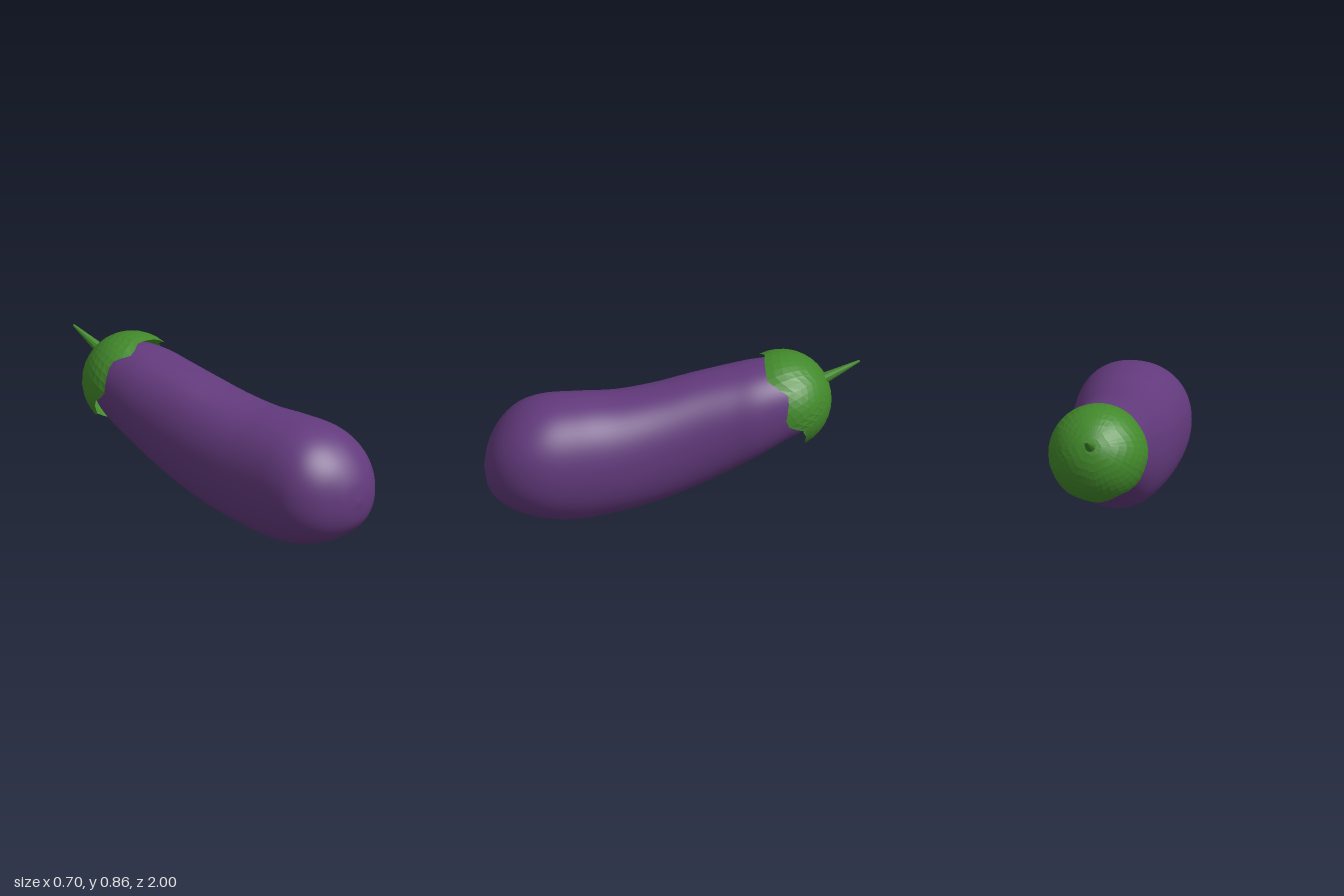
import * as THREE from 'three';
import { mergeVertices } from 'three/addons/utils/BufferGeometryUtils.js';

// Surface from a grid of points: rows along, columns around (closed loop)
function loft(rows, cols, pointAt) {
  const pos = [], idx = [];
  for (let i = 0; i <= rows; i++)
    for (let j = 0; j < cols; j++) pos.push(...pointAt(i / rows, j / cols));
  for (let i = 0; i < rows; i++)
    for (let j = 0; j < cols; j++) {
      const k = (j + 1) % cols;
      const a = i * cols + j, b = i * cols + k, c = a + cols, d = b + cols;
      idx.push(a, c, b, b, c, d);
    }
  const geo = new THREE.BufferGeometry();
  geo.setAttribute('position', new THREE.Float32BufferAttribute(pos, 3));
  geo.setIndex(idx);
  const merged = mergeVertices(geo, 1e-5);
  merged.computeVertexNormals();
  return merged;
}

// Fruit stations, front to back: z, x min, x max, y min, y max
const STATIONS = [
  [1, 0.08, 0.08, 0.32, 0.32],
  [0.975, -0.04, 0.19, 0.2, 0.44],
  [0.91, -0.165, 0.275, 0.12, 0.55],
  [0.81, -0.245, 0.328, 0.062, 0.635],
  [0.68, -0.272, 0.346, 0.02, 0.68],
  [0.5, -0.275, 0.325, 0.002, 0.688],
  [0.3, -0.278, 0.288, 0.025, 0.686],
  [0.1, -0.285, 0.245, 0.065, 0.712],
  [-0.1, -0.297, 0.205, 0.128, 0.755],
  [-0.3, -0.311, 0.177, 0.218, 0.792],
  [-0.45, -0.316, 0.158, 0.295, 0.815],
  [-0.6, -0.305, 0.11, 0.375, 0.815],
  [-0.71, -0.25, 0.06, 0.435, 0.755],
  [-0.77, -0.18, 0.0, 0.51, 0.69],
  [-0.79, -0.09, -0.09, 0.6, 0.6],
];

function buildFruit() {
  const low = new THREE.CatmullRomCurve3(
    STATIONS.map(s => new THREE.Vector3(s[1], s[3], s[0])), false, 'catmullrom', 0.5);
  const high = new THREE.CatmullRomCurve3(
    STATIONS.map(s => new THREE.Vector3(s[2], s[4], s[0])), false, 'catmullrom', 0.5);
  const round = v => Math.sign(v) * Math.abs(v) ** (2 / 2.15);
  return loft(84, 64, (t, u) => {
    const p = low.getPoint(t), q = high.getPoint(t), a = u * Math.PI * 2;
    return [
      (p.x + q.x) / 2 + round(Math.cos(a)) * (q.x - p.x) / 2,
      (p.y + q.y) / 2 + round(Math.sin(a)) * (q.y - p.y) / 2,
      p.z,
    ];
  });
}

// Ragged cap rim: [degrees around from the top towards +x, degrees down from the stem]
const RIM = [
  [-25, 92], [-8, 83], [12, 86], [38, 91], [65, 75], [95, 95], [118, 78], [147, 89],
  [165, 80], [186, 89], [212, 78], [240, 93], [257, 86], [276, 96], [312, 79], [335, 92],
];
function rimAngle(deg) {
  const d = deg > 335 ? deg - 360 : deg;
  const n = RIM.findIndex(r => r[0] >= d);
  if (n <= 0) return RIM[0][1];
  const [a, b] = [RIM[n - 1], RIM[n]];
  return THREE.MathUtils.mapLinear(d, a[0], b[0], a[1], b[1]);
}

function buildCap() {
  // Local frame: +y along the stem, +z to the upper side of the fruit
  return loft(9, 40, (t, u) => {
    const theta = THREE.MathUtils.degToRad(rimAngle(u * 360)) * t, a = u * Math.PI * 2;
    const r = 0.265 * Math.sin(theta);
    return [r * Math.sin(a), 0.265 * Math.cos(theta), r * Math.cos(a)];
  });
}

export function createModel() {
  const model = new THREE.Group();
  const purple = new THREE.MeshStandardMaterial({ color: 0x633a7d });
  const green = new THREE.MeshStandardMaterial({
    color: 0x42892b, flatShading: true, side: THREE.DoubleSide,
  });
  const add = (parent, name, geo, mat) => {
    const mesh = new THREE.Mesh(geo, mat);
    mesh.name = name;
    parent.add(mesh);
    return mesh;
  };

  add(model, 'fruit', buildFruit(), purple);

  // Leafy cap and stem share one tilted frame
  const top = new THREE.Group();
  top.name = 'capAndStem';
  const axis = new THREE.Vector3(-0.1, 0.43, -0.9).normalize();
  const side = new THREE.Vector3(0, 1, 0).cross(new THREE.Vector3(0, 0, 1));
  side.addScaledVector(axis, -side.dot(axis)).normalize();
  const upper = new THREE.Vector3().crossVectors(side, axis);
  top.quaternion.setFromRotationMatrix(new THREE.Matrix4().makeBasis(side, axis, upper));
  top.position.set(-0.085, 0.6, -0.58);
  model.add(top);

  add(top, 'cap', buildCap(), green);
  const stem = add(top, 'stem', new THREE.CylinderGeometry(0.006, 0.031, 0.216, 10, 3), green);
  stem.position.set(0.012, 0.355, 0.004);
  return model;
}
